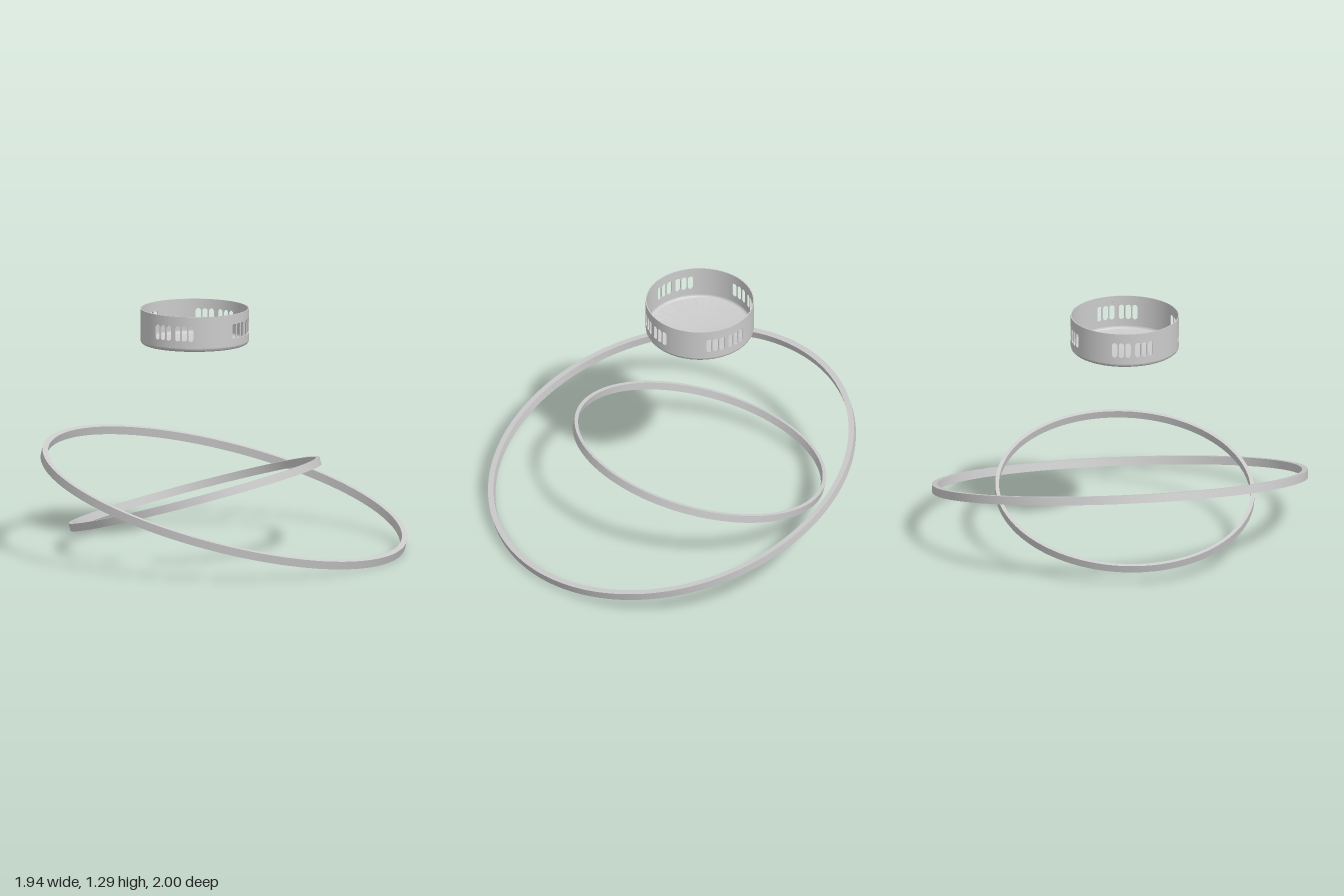
import * as THREE from 'three';
import { mergeGeometries, toCreasedNormals } from 'three/addons/utils/BufferGeometryUtils.js';

const material = new THREE.MeshStandardMaterial({ color: 0xcccccc, side: THREE.DoubleSide });
const deg = Math.PI / 180;

// canopy dimensions
const R = 0.288, WALL = 0.005, BASE = 1.105, SEAM = 1.125, TOP = 1.295;

function lathe(points, segments) {
  const profile = points.map(([x, y]) => new THREE.Vector2(x, y));
  return toCreasedNormals(new THREE.LatheGeometry(profile, segments), 0.6);
}

// tilted hoop with a rectangular section
function hoop(name, radius, thickness, height, x, y, tilt) {
  const h = height / 2, inner = radius - thickness;
  const geometry = lathe([[radius, -h], [radius, h], [inner, h], [inner, -h], [radius, -h]], 160);
  const mesh = new THREE.Mesh(geometry, material);
  mesh.name = name;
  mesh.position.set(x, y, 0);
  mesh.rotation.z = tilt * deg;
  return mesh;
}

// piece of the canopy wall between two angles, optionally slotted, bent round the axis
function wallPanel(from, to, slotted) {
  const half = (to - from) * deg * R / 2, middle = (from + to) / 2 * deg;
  const shape = new THREE.Shape();
  shape.moveTo(-half, SEAM).lineTo(half, SEAM).lineTo(half, TOP).lineTo(-half, TOP).closePath();
  if (slotted) {
    const r = 0.0145, hole = new THREE.Path();
    hole.absarc(0, 1.23, r, 0, Math.PI, false);
    hole.absarc(0, 1.177, r, Math.PI, 2 * Math.PI, false);
    hole.closePath();
    shape.holes.push(hole);
  }
  const flat = new THREE.ExtrudeGeometry(shape, { depth: WALL, bevelEnabled: false, curveSegments: 8 });
  const p = flat.attributes.position, kept = [];
  for (let i = 0; i < p.count; i += 3) {
    const corners = [i, i + 1, i + 2];
    // skip the hidden faces where panels meet each other and the pan
    const joint = corners.every(k => p.getX(k) > half - 1e-5) ||
      corners.every(k => p.getX(k) < -half + 1e-5) ||
      corners.every(k => p.getY(k) < SEAM + 1e-5);
    if (joint) continue;
    for (const k of corners) {
      const a = middle + p.getX(k) / R, r = R - WALL + p.getZ(k);
      kept.push(Math.sin(a) * r, p.getY(k), Math.cos(a) * r);
    }
  }
  const geometry = new THREE.BufferGeometry();
  geometry.setAttribute('position', new THREE.Float32BufferAttribute(kept, 3));
  geometry.computeVertexNormals();
  // smooth radial normals on the inner and outer skins
  const q = geometry.attributes.position, n = geometry.attributes.normal;
  for (let i = 0; i < q.count; i++) {
    const length = Math.hypot(q.getX(i), q.getZ(i));
    const nx = q.getX(i) / length, nz = q.getZ(i) / length;
    const facing = n.getX(i) * nx + n.getZ(i) * nz;
    if (Math.abs(facing) > 0.8) n.setXYZ(i, nx * Math.sign(facing), 0, nz * Math.sign(facing));
  }
  return geometry;
}

// shallow open-topped cup with four groups of vent slots
function canopy() {
  const group = new THREE.Group();
  group.name = 'ceilingCanopy';
  group.position.x = -0.17;

  const panels = [];
  const pitch = 7.2, gap = 1.6, edge = gap + 3 * pitch;
  for (let side = 0; side < 4; side++) {
    const c = side * 90;
    panels.push(wallPanel(c - gap, c + gap, false));
    for (let i = 0; i < 3; i++) {
      const a = gap + i * pitch;
      panels.push(wallPanel(c + a, c + a + pitch, true));
      panels.push(wallPanel(c - a - pitch, c - a, true));
    }
    const step = (90 - 2 * edge) / 8;
    for (let i = 0; i < 8; i++) {
      panels.push(wallPanel(c + edge + i * step, c + edge + (i + 1) * step, false));
    }
  }
  const wall = new THREE.Mesh(mergeGeometries(panels), material);
  wall.name = 'slottedWall';

  // floor with a rounded edge, outside then inside
  const outside = [[0, BASE]], inside = [[0, BASE + WALL]];
  const f = SEAM - BASE;
  for (let i = 0; i <= 5; i++) {
    const a = i / 5 * Math.PI / 2;
    outside.push([R - f + f * Math.sin(a), SEAM - f * Math.cos(a)]);
    inside.push([R - f + (f - WALL) * Math.sin(a), SEAM - (f - WALL) * Math.cos(a)]);
  }
  const pan = new THREE.Mesh(lathe([...outside, ...inside.reverse()], 96), material);
  pan.name = 'roundedPan';

  group.add(wall, pan);
  return group;
}

export function createModel() {
  const model = new THREE.Group();
  model.name = 'ringPendantLight';
  model.add(
    canopy(),
    hoop('largeRing', 1.0, 0.03, 0.044, 0, 0.287, -15.4),
    hoop('smallRing', 0.69, 0.02, 0.042, -0.168, 0.293, 16.2),
  );
  return model;
}
